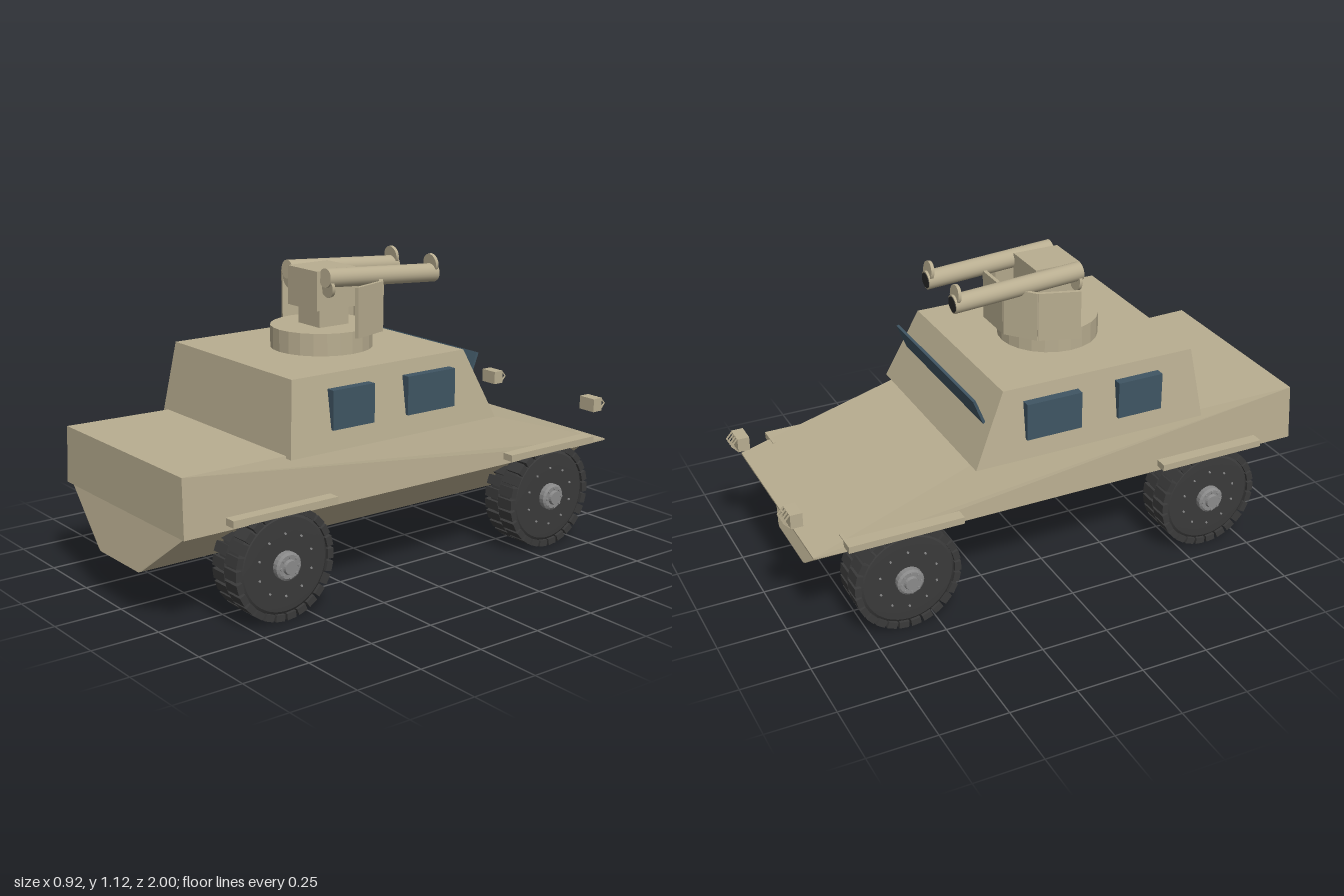
import * as THREE from 'three';
import { ConvexGeometry } from 'three/addons/geometries/ConvexGeometry.js';

const tan = new THREE.MeshStandardMaterial({ color: 0xb8ad90, flatShading: true });
const tanSmooth = new THREE.MeshStandardMaterial({ color: 0xb8ad90 });
const glass = new THREE.MeshStandardMaterial({ color: 0x3f5563 });
const rubber = new THREE.MeshStandardMaterial({ color: 0x3a3a3a });
const steel = new THREE.MeshStandardMaterial({ color: 0x8a8a8a, flatShading: true });
const bore = new THREE.MeshStandardMaterial({ color: 0x2b2b2b });

function add(parent, name, geometry, material, x = 0, y = 0, z = 0) {
  const mesh = new THREE.Mesh(geometry, material);
  mesh.name = name;
  mesh.position.set(x, y, z);
  parent.add(mesh);
  return mesh;
}

// Box given by its min and max corners
function box(parent, name, material, x0, x1, y0, y1, z0, z1) {
  return add(parent, name, new THREE.BoxGeometry(x1 - x0, y1 - y0, z1 - z0), material,
    (x0 + x1) / 2, (y0 + y1) / 2, (z0 + z1) / 2);
}

// Convex solid from right-hand corners, mirrored across x
function solid(parent, name, corners) {
  const pts = corners.flatMap(([x, y, z]) => [new THREE.Vector3(x, y, z), new THREE.Vector3(-x, y, z)]);
  return add(parent, name, new ConvexGeometry(pts), tan);
}

// Lathe turned so its axis is +x; profile is [radius, x]
function turned(profile, segments) {
  const g = new THREE.LatheGeometry(profile.map(([r, x]) => new THREE.Vector2(r, x)), segments);
  return g.rotateZ(-Math.PI / 2);
}

// Wheel with its outer face toward +x
function makeWheel() {
  const wheel = new THREE.Group();
  wheel.name = 'wheel';
  const tyre = turned([[0, -0.062], [0.165, -0.062], [0.165, -0.062], [0.186, -0.052], [0.186, -0.052],
    [0.189, 0], [0.186, 0.052], [0.186, 0.052], [0.165, 0.066], [0.165, 0.066], [0.12, 0.068], [0, 0.068]], 48);
  add(wheel, 'tyre', tyre, rubber);
  // Two staggered rows of tread blocks
  const count = 26;
  const block = new THREE.BoxGeometry(0.07, 0.024, 0.036);
  for (const row of [-1, 1]) {
    for (let i = 0; i < count; i++) {
      const a = ((i + (row > 0 ? 0.5 : 0)) / count) * Math.PI * 2;
      const lug = add(wheel, 'treadBlock', block, rubber, row * 0.036, Math.cos(a) * 0.186, Math.sin(a) * 0.186);
      lug.rotation.x = a;
    }
  }
  // Hub, bolts and sidewall studs
  add(wheel, 'hub', turned([[0.05, 0.06], [0.05, 0.088], [0.042, 0.094], [0.027, 0.094],
    [0.024, 0.105], [0, 0.105]], 20), steel);
  const pin = new THREE.CylinderGeometry(1, 1, 1, 6).rotateZ(Math.PI / 2);
  for (const [name, n, ring, size, x, mat] of [['wheelBolt', 8, 0.036, 0.005, 0.096, steel],
    ['sidewallStud', 10, 0.11, 0.004, 0.069, steel]]) {
    for (let i = 0; i < n; i++) {
      const a = (i / n) * Math.PI * 2;
      add(wheel, name, pin, mat, x, Math.cos(a) * ring, Math.sin(a) * ring).scale.set(0.008, size, size);
    }
  }
  return wheel;
}

// Plate standing between two plan points
function shieldPlate(parent, [xa, za], [xb, zb]) {
  const plate = add(parent, 'shieldPlate',
    new THREE.BoxGeometry(Math.hypot(xb - xa, zb - za) + 0.008, 0.18, 0.014), tan,
    (xa + xb) / 2, 0.965, (za + zb) / 2);
  plate.rotation.y = -Math.atan2(zb - za, xb - xa);
}

function makeTurret() {
  const turret = new THREE.Group();
  turret.name = 'turret';
  add(turret, 'turretRing', new THREE.CylinderGeometry(0.185, 0.185, 0.08, 24), tan, 0, 0.85, 0.145);
  box(turret, 'pedestal', tan, -0.063, 0.063, 0.88, 0.97, 0.07, 0.2);
  box(turret, 'launcherBox', tan, -0.088, 0.088, 0.957, 1.098, 0.052, 0.228);

  // Five-sided shield, open at the back
  const plan = [[-0.225, 0.155], [-0.18, 0.015], [-0.08, -0.067], [0.08, -0.067], [0.18, 0.015], [0.225, 0.155]];
  for (let i = 0; i < plan.length - 1; i++) shieldPlate(turret, plan[i], plan[i + 1]);

  // Pair of slightly tilted launch tubes with end caps
  const from = new THREE.Vector3(0, 1.078, 0.213);
  const to = new THREE.Vector3(0, 1.046, -0.283);
  const dir = to.clone().sub(from);
  const turn = new THREE.Quaternion().setFromUnitVectors(new THREE.Vector3(0, 1, 0), dir.clone().normalize());
  const disc = new THREE.CylinderGeometry(0.036, 0.036, 0.012, 20).rotateX(Math.PI / 2);
  for (const side of [-1, 1]) {
    const x = side * 0.115;
    const mid = from.clone().lerp(to, 0.5);
    add(turret, 'launchTube', new THREE.CylinderGeometry(0.034, 0.034, dir.length(), 24), tanSmooth,
      x, mid.y, mid.z).quaternion.copy(turn);
    add(turret, 'tubeBore', new THREE.CylinderGeometry(0.029, 0.029, 0.004, 24), bore,
      x, to.y, to.z).quaternion.copy(turn);
    add(turret, 'frontTubeCap', disc, tanSmooth, x, 1.081, -0.27).rotation.x = 0.1;
    add(turret, 'rearTubeCap', disc, tanSmooth, x, 1.043, 0.2).rotation.x = 0.1;
  }
  return turret;
}

// Lamp housing with a guard of V-shaped bars
function makeLamp() {
  const lamp = new THREE.Group();
  lamp.name = 'lamp';
  box(lamp, 'lampHousing', tan, -0.038, 0.038, -0.026, 0.026, -0.022, 0.022);
  for (const x of [-0.03, -0.01, 0.01, 0.03]) {
    for (const s of [-1, 1]) {
      const bar = add(lamp, 'lampGuardBar', new THREE.BoxGeometry(0.005, 0.034, 0.004), tan, x, s * 0.012, -0.033);
      bar.rotation.x = s * 0.73;
    }
  }
  return lamp;
}

export function createModel() {
  const model = new THREE.Group();
  model.name = 'armouredCar';

  // Body
  solid(model, 'upperHull', [[0.396, 0.355, 0.98], [0.385, 0.562, 0.976], [0.375, 0.553, 0.57],
    [0.358, 0.55, -0.33], [0.395, 0.355, -0.82], [0.392, 0.355, -0.93], [0.392, 0.362, -0.93]]);
  solid(model, 'lowerHull', [[0.383, 0.357, 0.967], [0.145, 0.18, 0.998], [0.13, 0.174, 1],
    [0.383, 0.357, -0.82], [0.145, 0.18, -0.883], [0.13, 0.174, -0.885]]);
  solid(model, 'cabin', [[0.406, 0.55, 0.57], [0.366, 0.81, 0.535], [0.406, 0.55, -0.335], [0.366, 0.81, -0.213]]);

  // Windscreen visor, leaning forward
  const visor = add(model, 'windscreen', new THREE.BoxGeometry(0.675, 0.1, 0.01), glass, 0, 0.735, -0.289);
  visor.rotation.x = -0.38;

  for (const side of [-1, 1]) {
    // Side windows
    for (const [z0, z1] of [[0.22, 0.395], [-0.14, 0.073]]) {
      const x = side * 0.39;
      box(model, 'sideWindow', glass, x - 0.017, x + 0.017, 0.622, 0.76, z0, z1);
    }
    // Mudguards and wheels
    for (const [z, z0, z1] of [[0.61, 0.4, 0.82], [-0.605, -0.82, -0.395]]) {
      const x = side * 0.392;
      box(model, 'mudguard', tan, x - 0.047, x + 0.047, 0.375, 0.4, z0, z1);
      const wheel = makeWheel();
      wheel.position.set(side * 0.357, 0.2, z);
      if (side < 0) wheel.rotation.y = Math.PI;
      model.add(wheel);
    }
    // Forward lamps
    const lamp = makeLamp();
    lamp.position.set(side * 0.286, 0.477, -0.957);
    model.add(lamp);
  }

  model.add(makeTurret());
  return model;
}
